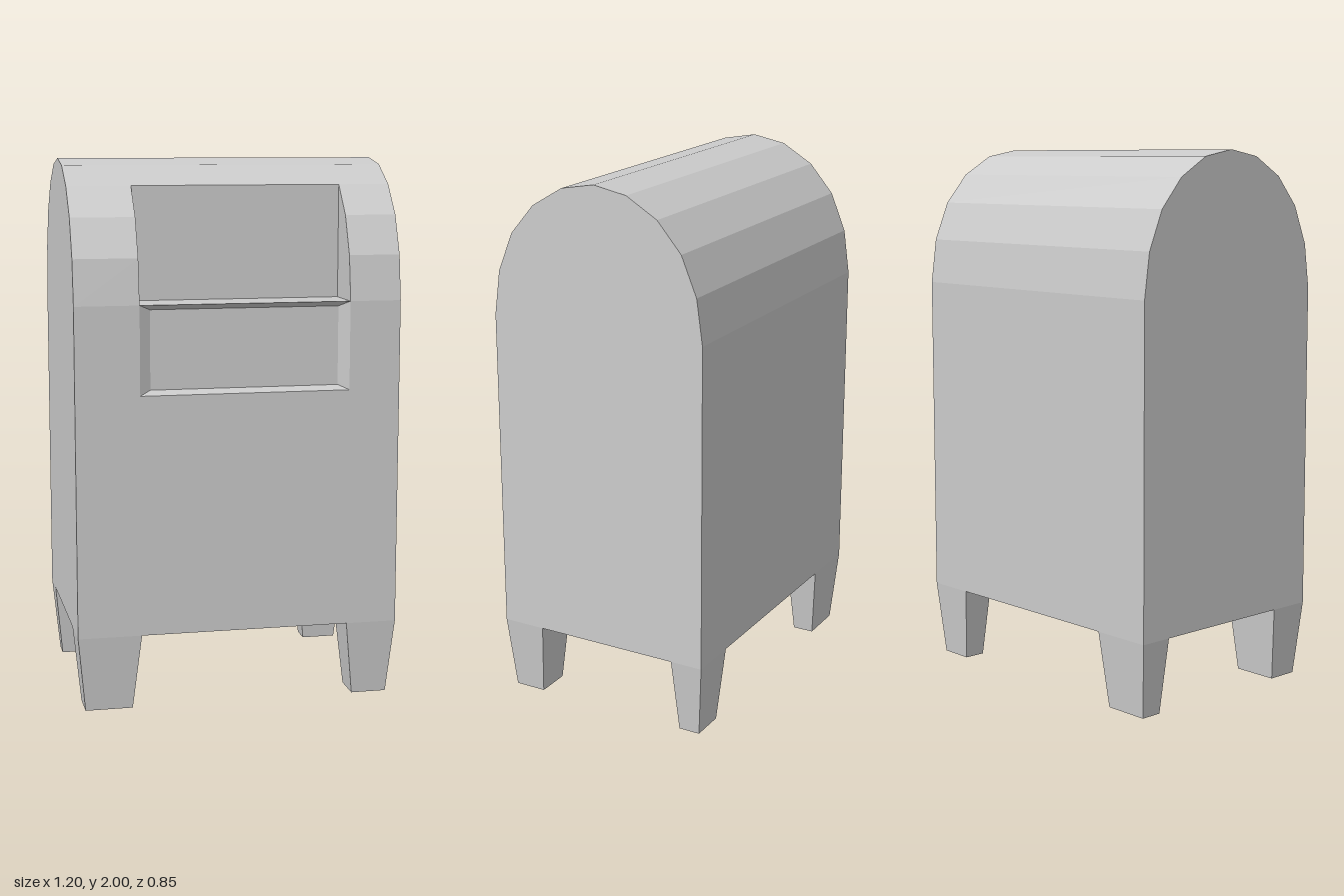
import * as THREE from 'three';

const material = new THREE.MeshStandardMaterial({ color: 0xcccccc, flatShading: true });

// Mesh from convex polygons, corners counter-clockwise seen from outside
function polygonMesh(name, polygons) {
  const positions = [];
  for (const p of polygons) {
    for (let i = 1; i < p.length - 1; i++) positions.push(...p[0], ...p[i], ...p[i + 1]);
  }
  const geometry = new THREE.BufferGeometry();
  geometry.setAttribute('position', new THREE.Float32BufferAttribute(positions, 3));
  geometry.computeVertexNormals();
  const mesh = new THREE.Mesh(geometry, material);
  mesh.name = name;
  return mesh;
}

// Sweep a [z, y] path along x, as a row of quads
const strip = (path, x0, x1) => path.slice(1).map(([zb, yb], i) => {
  const [za, ya] = path[i];
  return [[x0, ya, za], [x1, ya, za], [x1, yb, zb], [x0, yb, zb]];
});

// Flat [z, y] outline at a given x, facing -x or +x
const cap = (path, x, facing) => {
  const corners = path.map(([z, y]) => [x, y, z]);
  return facing > 0 ? corners.reverse() : corners;
};

// Ring of four quads joining two four-cornered loops
const ring = (a, b) => a.map((p, i) => [p, a[(i + 1) % 4], b[(i + 1) % 4], b[i]]);

export function createModel() {
  const group = new THREE.Group();
  const halfW = 0.6, front = 0.425, floorY = 0.28;
  const openL = -0.365, openR = 0.41, shelfY = 1.49, panelY = 1.165;

  // Side outline: front wall, rounded roof, back wall
  const frontArc = [[front, shelfY], [0.402, 1.655], [0.343, 1.797], [0.25, 1.905]];
  const roofRear = [[0.25, 1.905], [0.13, 1.976], [0, 2], [-0.13, 1.976], [-0.25, 1.905],
    [-0.343, 1.797], [-0.402, 1.655], [-front, shelfY], [-front, floorY]];
  const outline = [[front, floorY], ...frontArc, ...roofRear.slice(1)];
  const frontSide = [[front, panelY], ...frontArc];

  // Box shell, left open where the slot and panel sit
  group.add(polygonMesh('body', [
    ...strip([[front, floorY], [front, panelY]], -halfW, halfW),
    ...strip(frontSide, -halfW, openL),
    ...strip(frontSide, openR, halfW),
    ...strip([...roofRear, [front, floorY]], -halfW, halfW),
    cap(outline, -halfW, -1),
    cap(outline, halfW, 1),
  ]));

  // Mail opening: shelf, back wall and two cheeks
  const cheek = [...frontArc, [0.25, shelfY]];
  group.add(polygonMesh('mailOpening', [
    ...strip([[front, shelfY], [0.25, shelfY], [0.25, 1.905]], openL, openR),
    cap(cheek, openR, -1),
    cap(cheek, openL, 1),
  ]));

  // Shallow recessed panel with bevelled edges
  const rect = (x0, x1, y0, y1, z) => [[x0, y0, z], [x1, y0, z], [x1, y1, z], [x0, y1, z]];
  const rim = rect(openL, openR, panelY, shelfY, front);
  const inner = rect(openL + 0.04, openR - 0.04, panelY + 0.018, shelfY - 0.018, front - 0.02);
  group.add(polygonMesh('recessedPanel', [...ring(rim, inner), inner]));

  // Tapered legs: x and z ranges at top and bottom
  const level = ([x0, x1], [z0, z1], y) => [[x0, y, z0], [x1, y, z0], [x1, y, z1], [x0, y, z1]];
  const xSpans = { Right: [[-0.6, -0.365], [-0.573, -0.398]], Left: [[0.41, 0.6], [0.44, 0.572]] };
  const zSpans = { front: [[0.26, 0.425], [0.282, 0.402]], back: [[-0.425, -0.3], [-0.402, -0.32]] };
  for (const [zName, z] of Object.entries(zSpans)) {
    for (const [xName, x] of Object.entries(xSpans)) {
      const top = level(x[0], z[0], floorY), foot = level(x[1], z[1], 0);
      group.add(polygonMesh(`${zName}${xName}Leg`, [...ring(top, foot), foot]));
    }
  }
  return group;
}
